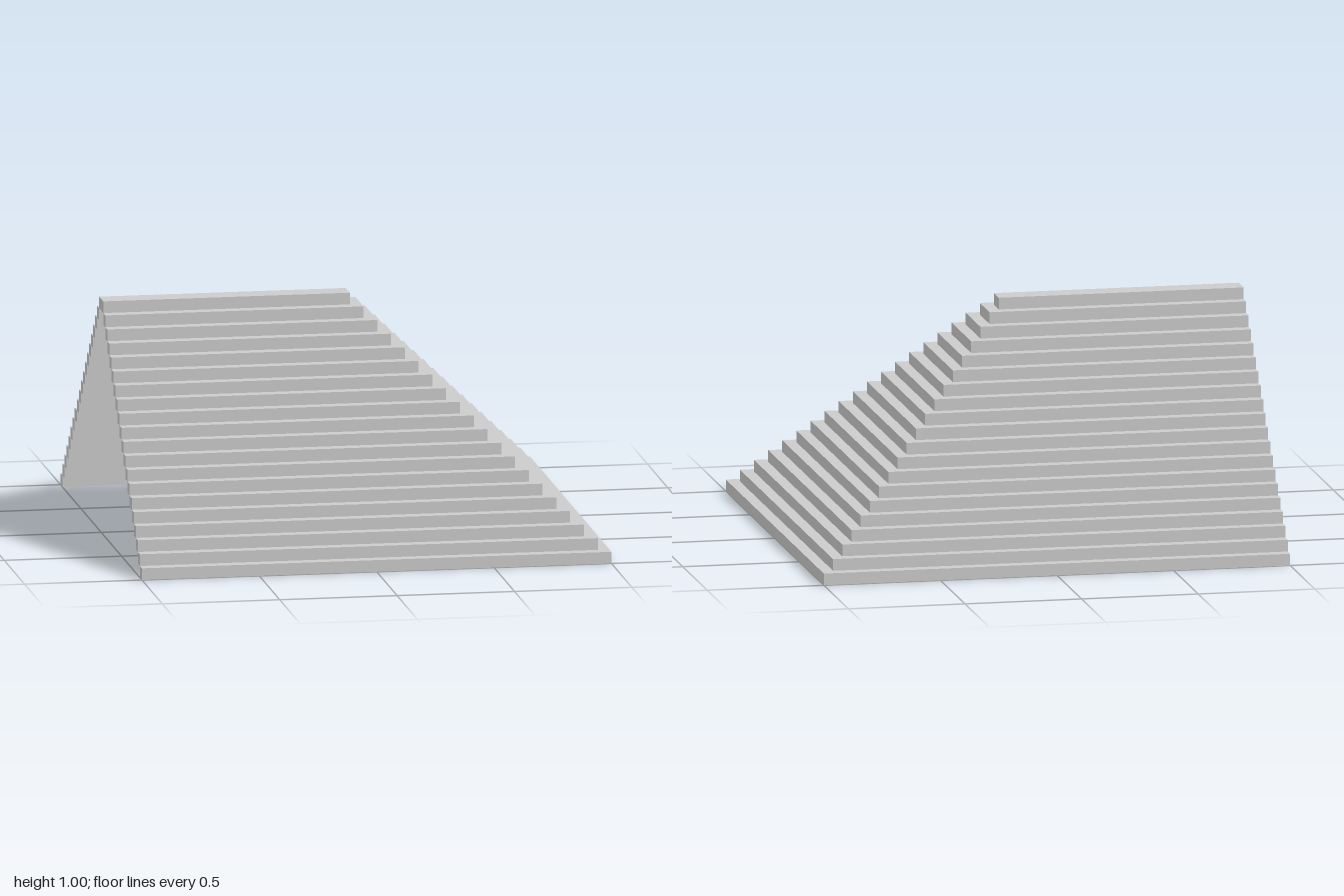
import * as THREE from 'three';

const STEP = 0.05;   // height, width and inset of every course
const COURSES = 20;

// U-shaped course: two long rails joined by one end rail, open at -x
function courseGeometry(outer) {
  const inner = outer - STEP;
  const points = [[-1, -outer], [outer, -outer], [outer, outer], [-1, outer]];
  // the ridge course has no gap between its rails
  if (inner > 0.001) points.push([-1, inner], [inner, inner], [inner, -inner], [-1, -inner]);
  const shape = new THREE.Shape(points.map(([x, z]) => new THREE.Vector2(x, z)));
  const geometry = new THREE.ExtrudeGeometry(shape, { depth: STEP, bevelEnabled: false });
  return geometry.rotateX(-Math.PI / 2);
}

export function createModel() {
  const roof = new THREE.Group();
  roof.name = 'steppedHipRoof';
  const material = new THREE.MeshStandardMaterial({ color: 0xcccccc, flatShading: true });

  // Courses stack upward, each inset by one step
  for (let i = 0; i < COURSES; i++) {
    const course = new THREE.Mesh(courseGeometry(1 - i * STEP), material);
    course.name = i === COURSES - 1 ? 'ridge' : `roofCourse${i + 1}`;
    course.position.y = i * STEP;
    roof.add(course);
  }
  return roof;
}
